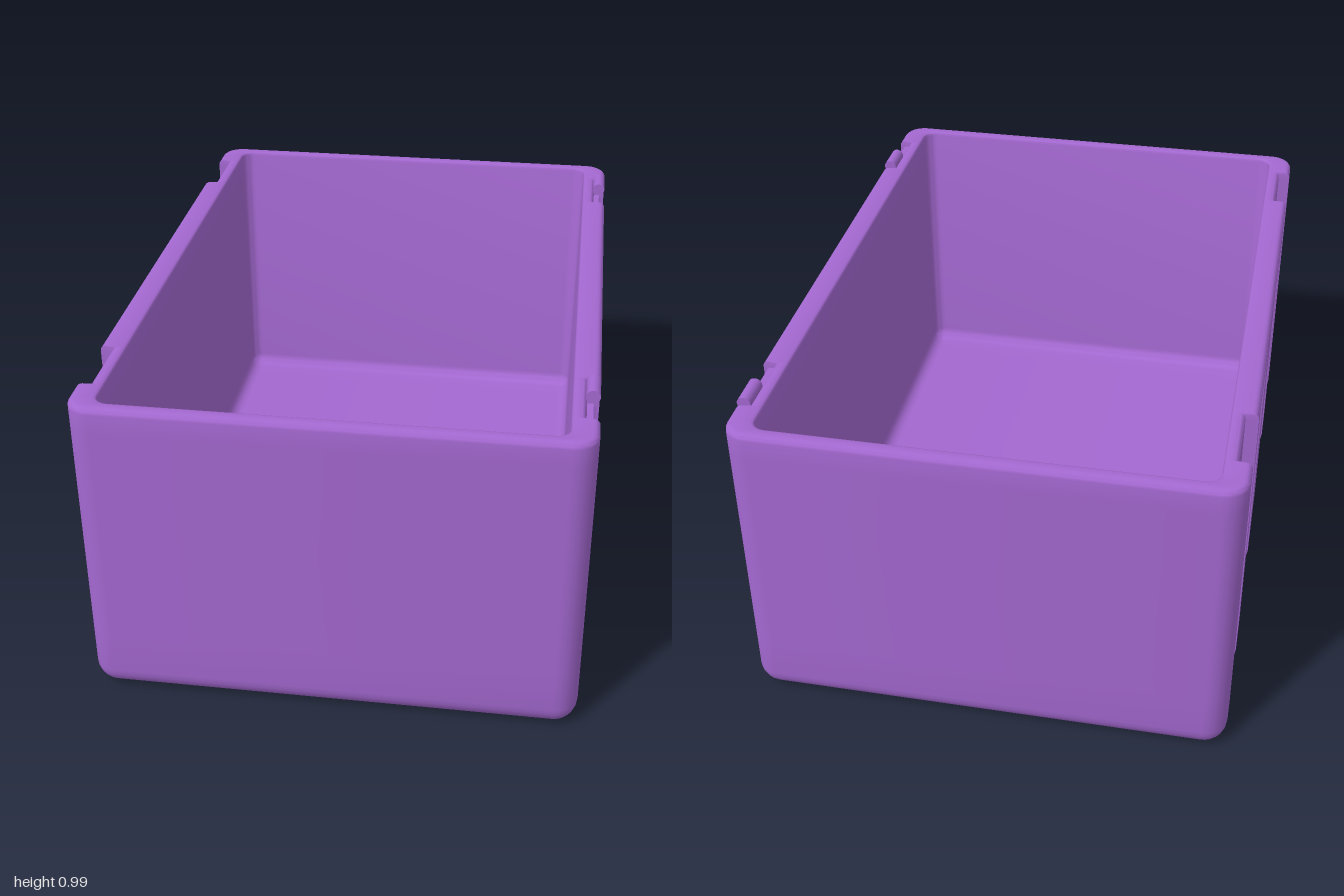
import * as THREE from 'three';
import { toCreasedNormals } from 'three/addons/utils/BufferGeometryUtils.js';

const W = 0.717, L = 1, H = 0.965, R = 0.07;       // outer half width, half length, height, corner radius
const IW = 0.64, IL = 0.955, IR = 0.04, FLOOR = 0.06; // cavity

// Stations along the long sides: [z, band] with 0 = rib, 1 = hinge groove, 2 = recessed panel
const half = [[0.163, 0], [0.169, 2], [0.499, 2], [0.505, 0], [0.637, 0], [0.641, 1], [0.858, 1], [0.862, 0]];
const stations = [...half.map(([z, k]) => [-z, k]).reverse(), ...half];

// Right half (+x) of a horizontal ring, running from back to front
function halfRing({ w, l, r, y, depth = [0, 0, 0], lift = [0, 0, 0] }) {
  const pts = [], N = 6;
  const corner = (sign) => {
    for (let i = 0; i <= N; i++) {
      const a = (Math.PI / 2) * (sign < 0 ? i / N - 1 : i / N);
      pts.push([w - r + r * Math.cos(a), y, sign * (l - r) + r * Math.sin(a)]);
    }
  };
  corner(-1);
  for (const [z, k] of stations) pts.push([w - depth[k], y + lift[k], z]);
  corner(1);
  return pts;
}

function shellGeometry() {
  const rings = [];
  const outer = (b, y, depth, lift) => rings.push(halfRing({ w: W - b, l: L - b, r: R - b, y, depth, lift }));
  const inner = (b, y) => rings.push(halfRing({ w: IW - b, l: IL - b, r: IR - b, y }));
  const all = [0, 0.037, 0.036], grooveOnly = [0, 0.037, 0], rise = [0, 0.03, 0.04];
  const q = (i, n) => (i / n) * Math.PI / 2;

  // rounded underside, with the bands wrapping beneath
  for (let i = 0; i <= 6; i++) outer(R * (1 - Math.sin(q(i, 6))), R * (1 - Math.cos(q(i, 6))), all, rise);
  // walls: panels end in a sloped top, hinge grooves run to the rim
  outer(0, 0.2, all);
  outer(0, 0.865, all);
  outer(0, 0.89, grooveOnly);
  const f = 0.018, g = 0.01;
  for (let i = 0; i <= 4; i++) outer(f * (1 - Math.cos(q(i, 4))), H - f + f * Math.sin(q(i, 4)), grooveOnly);
  // inner lip, cavity wall and floor fillet
  for (let i = 0; i <= 3; i++) inner(-g * (1 - Math.sin(q(i, 3))), H - g + g * Math.cos(q(i, 3)));
  for (let i = 0; i <= 6; i++) inner(IR * (1 - Math.cos(q(i, 6))), FLOOR + IR * (1 - Math.sin(q(i, 6))));

  const mirror = ([x, y, z]) => [-x, y, z];
  const pos = [];
  const quad = (a, b, c, d) => pos.push(...a, ...b, ...c, ...a, ...c, ...d);
  const loops = rings.map((p) => [...p, ...p.map(mirror).reverse()]);
  for (let k = 0; k < loops.length - 1; k++) {
    const lo = loops[k], hi = loops[k + 1], n = lo.length;
    for (let i = 0; i < n; i++) {
      const j = (i + 1) % n;
      quad(lo[i], hi[i], hi[j], lo[j]);
    }
  }
  // underside and floor, as strips from side to side
  const bottom = rings[0], floor = rings[rings.length - 1];
  for (let i = 0; i < bottom.length - 1; i++) {
    quad(bottom[i], bottom[i + 1], mirror(bottom[i + 1]), mirror(bottom[i]));
    quad(floor[i], mirror(floor[i]), mirror(floor[i + 1]), floor[i + 1]);
  }
  const geo = new THREE.BufferGeometry();
  geo.setAttribute('position', new THREE.Float32BufferAttribute(pos, 3));
  return toCreasedNormals(geo, 0.55);
}

export function createModel() {
  const model = new THREE.Group();
  model.name = 'openCrate';
  const material = new THREE.MeshStandardMaterial({ color: 0xa368d0 });
  const add = (parent, name, geo) => {
    const mesh = new THREE.Mesh(geo, material);
    mesh.name = name;
    parent.add(mesh);
    return mesh;
  };

  add(model, 'crateBody', shellGeometry());

  // Hinges in the two grooves on the left side
  const profile = new THREE.Shape([
    [0.67, 0.89], [0.698, 0.89], [0.705, 0.9], [0.705, 0.938], [0.698, 0.945], [0.67, 0.945],
  ].map(([x, y]) => new THREE.Vector2(x, y)));
  const hinges = [
    { name: 'frontHinge', z0: 0.641, knuckleZ: 0.698 },
    { name: 'backHinge', z0: -0.858, knuckleZ: -0.805 },
  ];
  for (const { name, z0, knuckleZ } of hinges) {
    const hinge = new THREE.Group();
    hinge.name = name;
    const leaf = add(hinge, 'hingeLeaf', new THREE.ExtrudeGeometry(profile, { depth: 0.217, bevelEnabled: false }));
    leaf.position.z = z0;
    const knuckle = add(hinge, 'hingeKnuckle', new THREE.CylinderGeometry(0.02, 0.02, 0.098, 20));
    knuckle.rotation.x = Math.PI / 2;
    knuckle.position.set(0.696, 0.965, knuckleZ);
    const web = add(hinge, 'knuckleWeb', new THREE.BoxGeometry(0.036, 0.03, 0.098));
    web.position.set(0.694, 0.95, knuckleZ);
    model.add(hinge);
  }
  return model;
}
